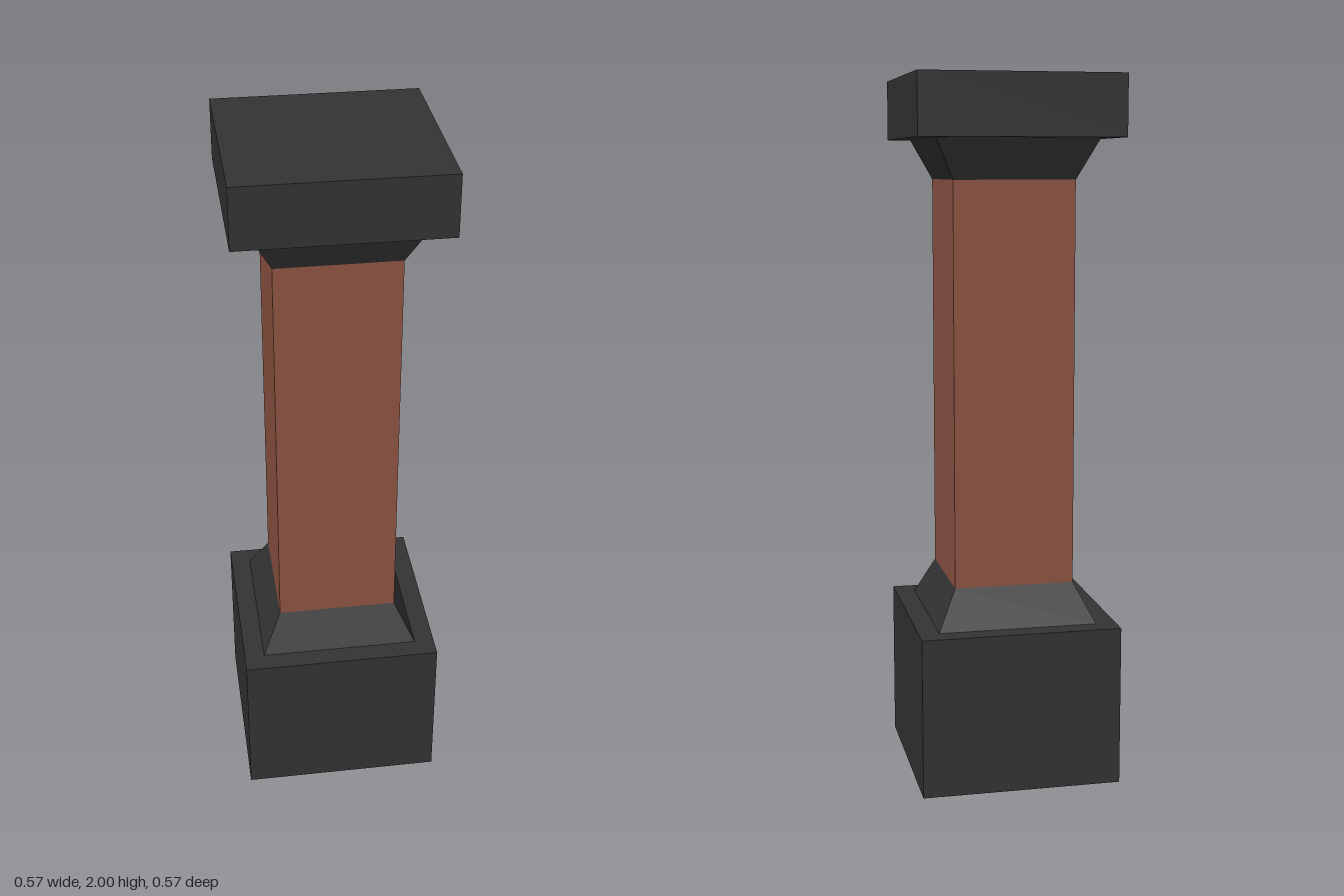
import * as THREE from 'three';

// Four-sided lathe from [half width, height] pairs, with flat faces square to the axes
function squareLathe(name, profile, material) {
  const points = profile.map(([half, y]) => new THREE.Vector2(half * Math.SQRT2, y));
  const geometry = new THREE.LatheGeometry(points, 4, Math.PI / 4).toNonIndexed();
  geometry.computeVertexNormals();
  const mesh = new THREE.Mesh(geometry, material);
  mesh.name = name;
  return mesh;
}

export function createModel() {
  const stone = new THREE.MeshStandardMaterial({ color: 0x333333, side: THREE.DoubleSide });
  stone.name = 'dark stone';
  const brick = new THREE.MeshStandardMaterial({ color: 0x8e5443 });
  brick.name = 'brick red';

  const base = 0.286, flare = 0.228, shaft = 0.172;
  const group = new THREE.Group();
  group.name = 'pillar';
  group.add(
    // Hollow plinth, open underneath, with a ledge on top
    squareLathe('plinth', [[base, 0], [base, 0.46], [flare, 0.46]], stone),
    squareLathe('lowerFlare', [[flare, 0.46], [shaft, 0.572]], stone),
    squareLathe('shaft', [[shaft, 0.572], [shaft, 1.717]], brick),
    squareLathe('upperFlare', [[shaft, 1.717], [flare, 1.83]], stone),
    // Cap slab with its underside ledge and closed top
    squareLathe('capSlab', [[flare, 1.83], [base, 1.83], [base, 2], [0, 2]], stone),
  );
  return group;
}
